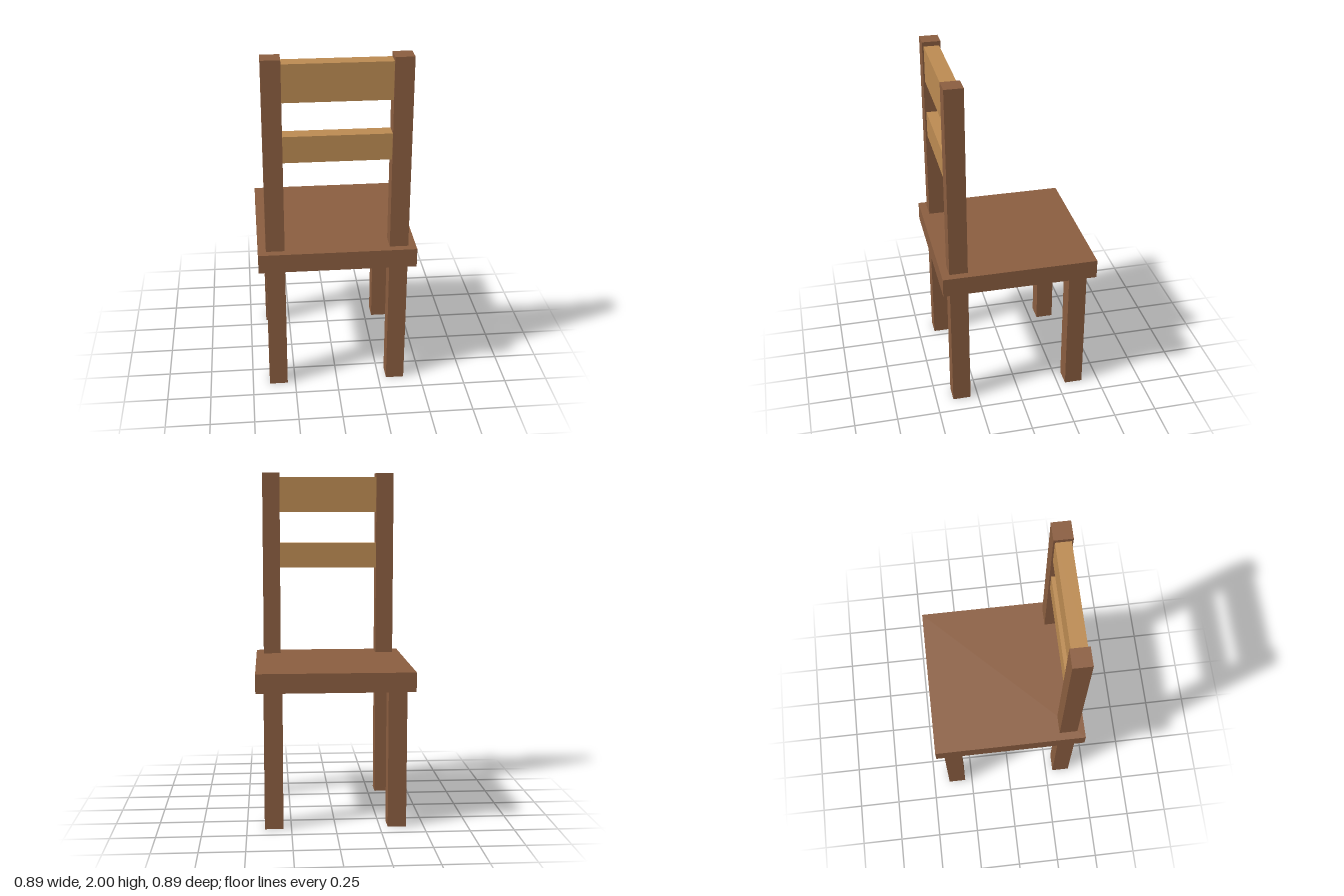
import * as THREE from 'three';

const darkWood = new THREE.MeshStandardMaterial({ color: 0x8b5e40 });
const lightWood = new THREE.MeshStandardMaterial({ color: 0xbc8b52 });

// Box resting on height y0 and reaching y1
function block(name, width, y0, y1, depth, x, z, material) {
  const mesh = new THREE.Mesh(new THREE.BoxGeometry(width, y1 - y0, depth), material);
  mesh.position.set(x, (y0 + y1) / 2, z);
  mesh.name = name;
  return mesh;
}

export function createModel() {
  const chair = new THREE.Group();
  chair.name = 'chair';

  const seatBottom = 0.785, seatTop = 0.895;
  const post = 0.105, offset = 0.348;

  chair.add(block('seat', 0.89, seatBottom, seatTop, 0.89, 0, 0, darkWood));

  // Four legs, with backrest posts continuing above the seat on the +z side
  for (const [side, s] of [['left', 1], ['right', -1]]) {
    const x = s * offset;
    chair.add(block(`${side}ShortLeg`, post, 0, seatBottom, post, x, -offset, darkWood));
    chair.add(block(`${side}PostLeg`, post, 0, seatBottom, post, x, offset, darkWood));
    chair.add(block(`${side}BackPost`, post, seatTop, 2, post, x, offset, darkWood));
  }

  // Backrest slats between the posts
  const slatWidth = 2 * offset - post;
  chair.add(block('lowerSlat', slatWidth, 1.425, 1.575, 0.087, 0, offset, lightWood));
  chair.add(block('upperSlat', slatWidth, 1.765, 1.975, 0.087, 0, offset, lightWood));

  return chair;
}
